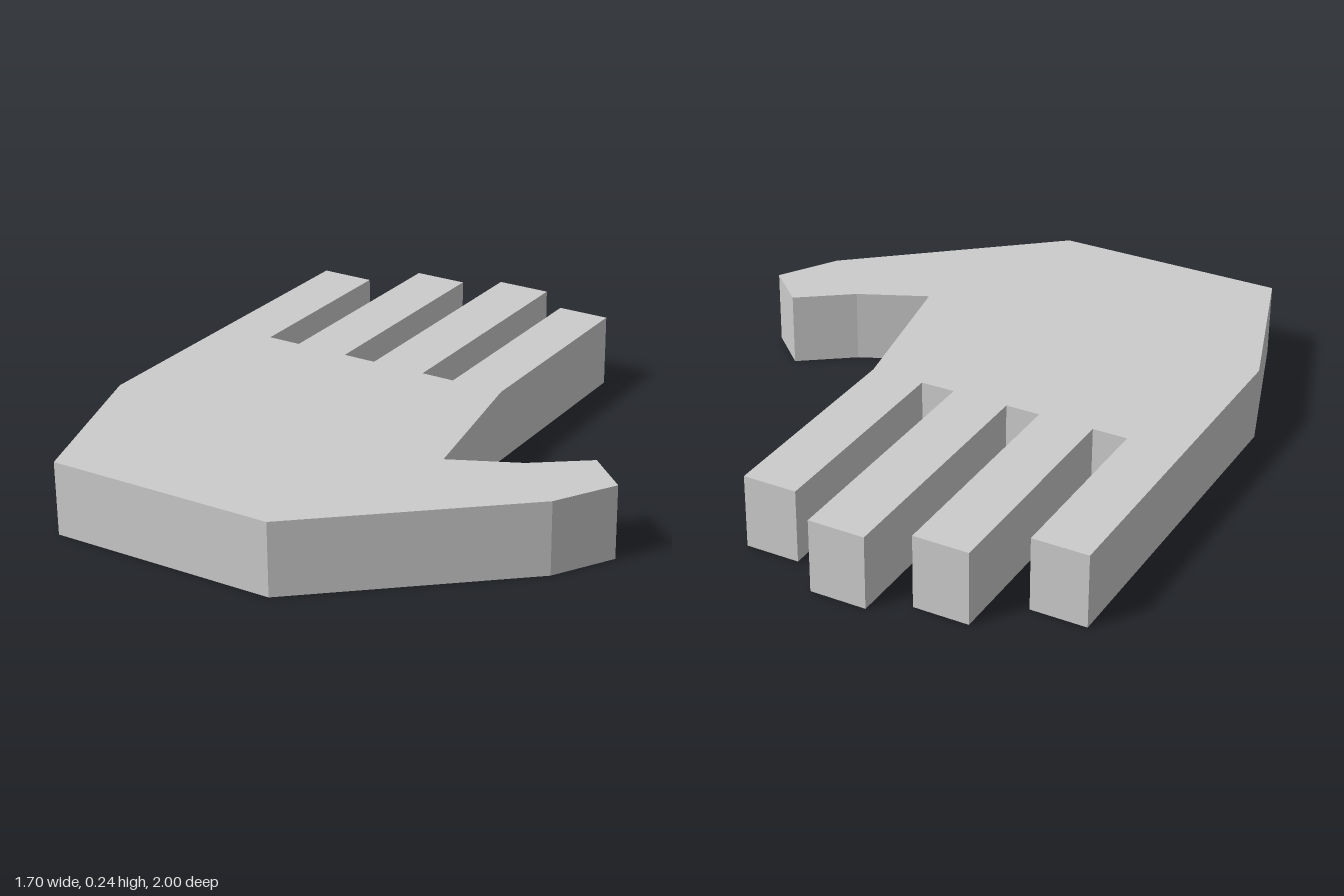
import * as THREE from 'three';

const THICKNESS = 0.243;

// Outline is drawn in plan as (x, z); y of the shape is -z so it can be laid flat
export function createModel() {
  const group = new THREE.Group();
  group.name = 'hand';

  // Fingers from little to index: left edge, right edge, tip z
  const fingers = [
    [-0.85, -0.665, -0.775],
    [-0.55, -0.367, -0.926],
    [-0.253, -0.067, -1],
    [0.047, 0.225, -0.887],
  ];
  const knuckleZ = -0.145;

  // Wrist and outer edge of the palm
  const outline = [[0.103, 1], [-0.665, 1], [-0.85, 0.44]];

  // Straight fingers with square gaps between them
  fingers.forEach(([x0, x1, tip], i) => {
    if (i > 0) outline.push([x0, knuckleZ]);
    outline.push([x0, tip], [x1, tip], [x1, knuckleZ]);
  });

  // Thumb
  outline.push([0.322, 0.383], [0.544, 0.28], [0.718, 0.152], [0.85, 0.273], [0.735, 0.465]);

  const shape = new THREE.Shape(outline.map(([x, z]) => new THREE.Vector2(x, -z)));
  const geometry = new THREE.ExtrudeGeometry(shape, { depth: THICKNESS, bevelEnabled: false });
  geometry.rotateX(-Math.PI / 2);

  const hand = new THREE.Mesh(
    geometry,
    new THREE.MeshStandardMaterial({ color: 0xcccccc, flatShading: true })
  );
  hand.name = 'palmAndFingers';
  group.add(hand);
  return group;
}
